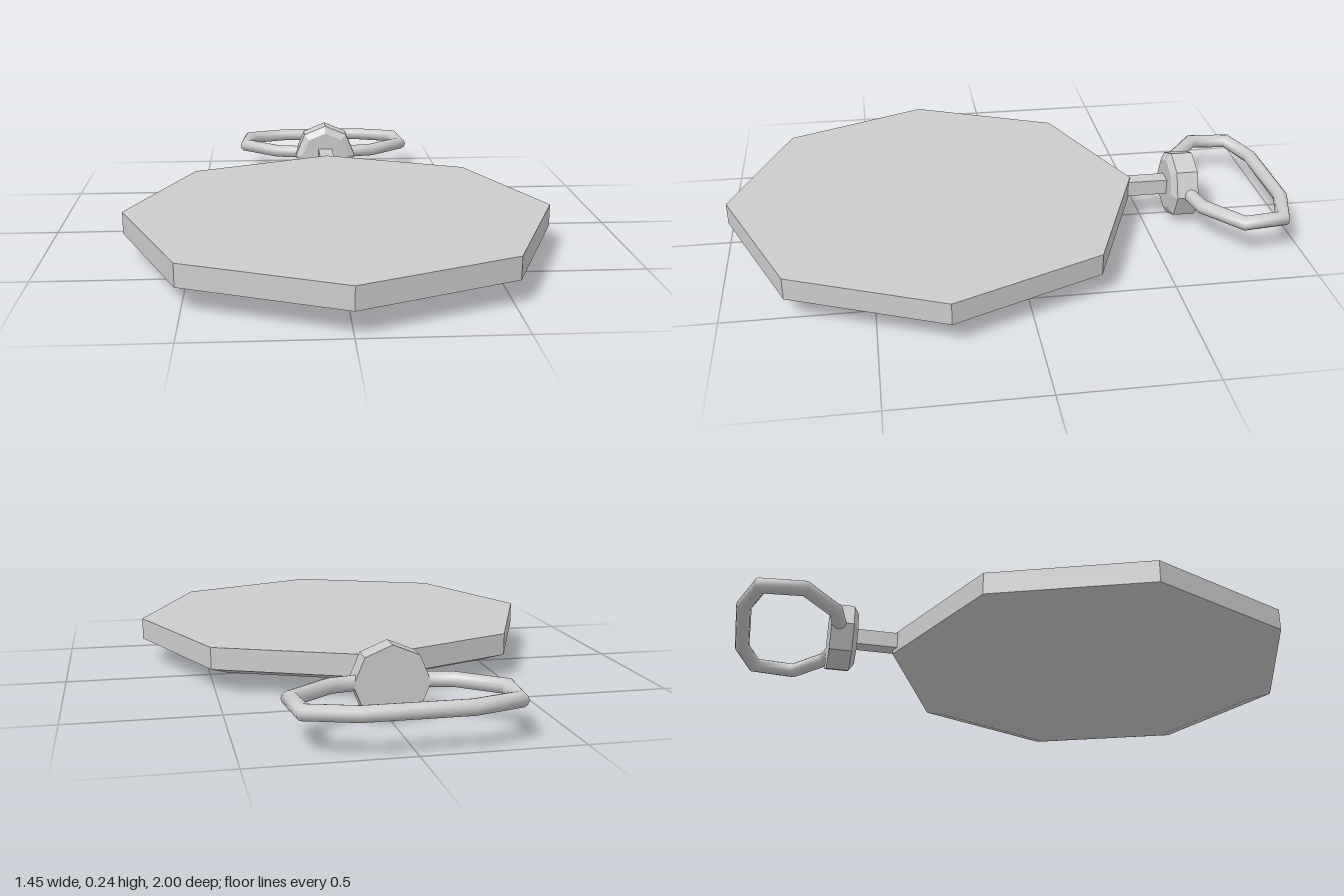
import * as THREE from 'three';

const flat = new THREE.MeshStandardMaterial({ color: 0xcccccc, flatShading: true });
const smooth = new THREE.MeshStandardMaterial({ color: 0xcccccc });

// Eight-sided solid from [radius, height] pairs, listed bottom to top
function octagonal(profile) {
  return new THREE.LatheGeometry(profile.map(([r, h]) => new THREE.Vector2(r, h)), 8);
}

// Closed tube with mitred corners along a loop of [x, z] points at height y
function mitredRing(path, y, radius, sides) {
  const n = path.length, positions = [], index = [];
  const pts = path.map(([x, z]) => new THREE.Vector2(x, z));
  for (let i = 0; i < n; i++) {
    const a = pts[i].clone().sub(pts[(i + n - 1) % n]).normalize();
    const b = pts[(i + 1) % n].clone().sub(pts[i]).normalize();
    const t = a.clone().add(b).normalize();
    const out = new THREE.Vector2(t.y, -t.x).divideScalar(t.dot(a));
    for (let j = 0; j < sides; j++) {
      const ang = (j / sides) * Math.PI * 2, c = Math.cos(ang) * radius;
      positions.push(pts[i].x + out.x * c, y + Math.sin(ang) * radius, pts[i].y + out.y * c);
      const i2 = (i + 1) % n, j2 = (j + 1) % sides;
      const p = i * sides + j, q = i2 * sides + j, r = i2 * sides + j2, s = i * sides + j2;
      index.push(p, s, q, q, s, r);
    }
  }
  const geo = new THREE.BufferGeometry();
  geo.setAttribute('position', new THREE.Float32BufferAttribute(positions, 3));
  geo.setIndex(index);
  geo.computeVertexNormals();
  return geo;
}

export function createModel() {
  const group = new THREE.Group();
  const add = (name, geometry, material = flat) => {
    const mesh = new THREE.Mesh(geometry, material);
    mesh.name = name;
    group.add(mesh);
    return mesh;
  };

  // Watch case: flat top, bevelled underside with an off-centre low point
  const caseGeo = octagonal([[0, 0.032], [0.637, 0.054], [0.727, 0.085], [0.727, 0.161], [0, 0.161]]);
  const pos = caseGeo.attributes.position;
  for (let i = 0; i < pos.count; i++) {
    if (pos.getY(i) < 0.04) pos.setZ(i, 0.22);
  }
  add('watchCase', caseGeo).position.z = 0.272;

  // Stem joining case and crown
  add('stem', new THREE.BoxGeometry(0.056, 0.056, 0.24)).position.set(0, 0.127, -0.49);

  // Crown: flat back, chamfered front rim
  const crownGeo = octagonal([[0, -0.682], [0.122, -0.682], [0.122, -0.605], [0.095, -0.588], [0, -0.588]]);
  crownGeo.rotateX(Math.PI / 2);
  add('crown', crownGeo).position.y = 0.126;

  // Bow: angular loop whose ends run into the crown
  const half = [[0.06, -0.65], [0.115, -0.657], [0.197, -0.675], [0.33, -0.785], [0.315, -0.926], [0.163, -0.974]];
  const loop = [...half, ...half.map(([x, z]) => [-x, z]).reverse()];
  const ringGeo = mitredRing(loop, 0.129, 0.025, 12);
  add('bow', ringGeo, smooth);

  return group;
}
